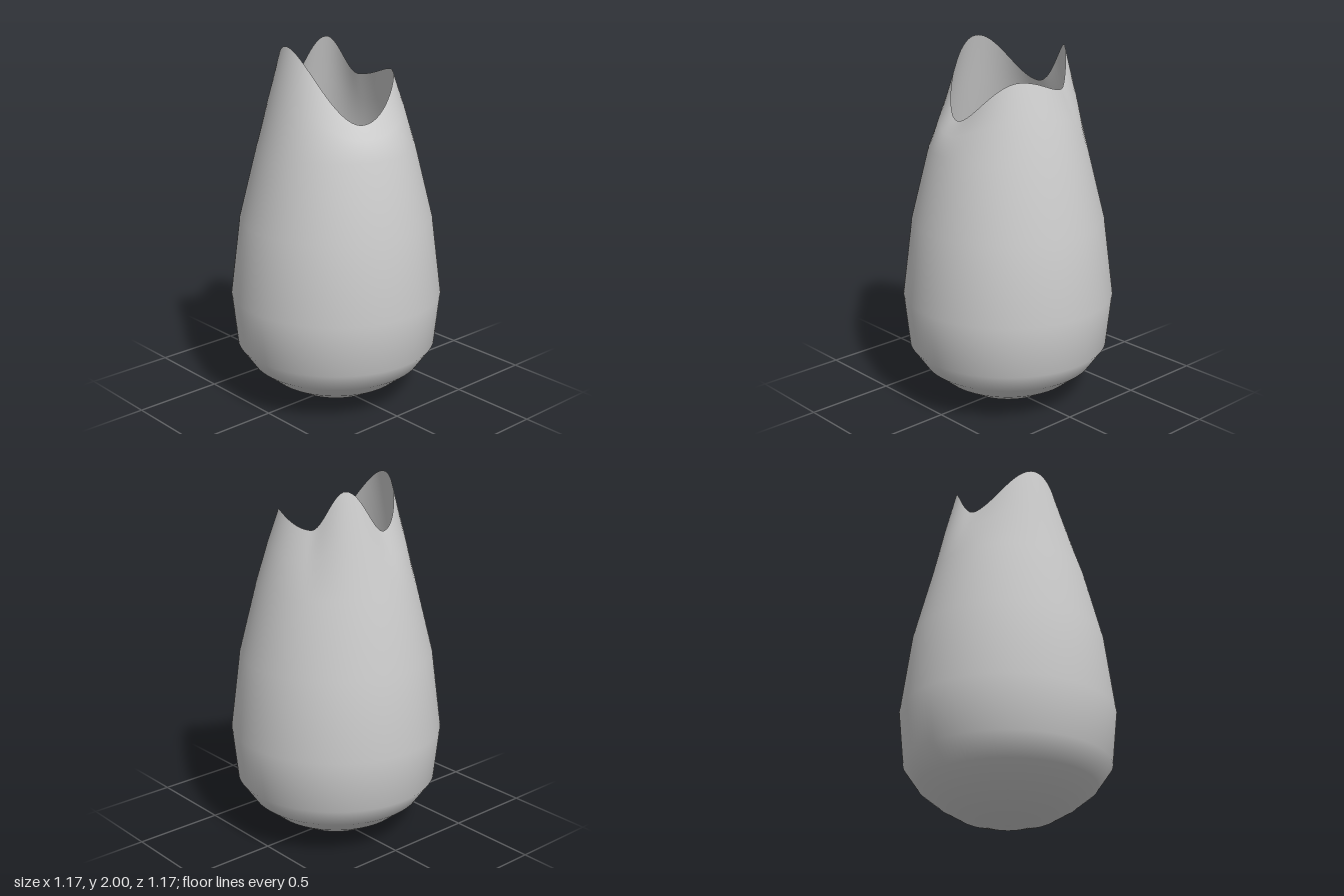
import * as THREE from 'three';
import { mergeVertices } from 'three/addons/utils/BufferGeometryUtils.js';

// Peaks and dips of the rim: [degrees from the front towards +x, height]
const RIM = [[-9, 2], [75, 1.61], [150, 1.84], [204, 1.775], [238, 1.98], [283, 1.75], [351, 2]];

// Eased height of the wavy rim at an angle
function rimHeight(deg) {
  const a = ((deg + 9) % 360 + 360) % 360 - 9;
  let i = 0;
  while (i < RIM.length - 2 && a > RIM[i + 1][0]) i++;
  const [a0, h0] = RIM[i], [a1, h1] = RIM[i + 1];
  const t = (1 - Math.cos(Math.PI * (a - a0) / (a1 - a0))) / 2;
  return h0 + (h1 - h0) * t;
}

export function createModel() {
  const group = new THREE.Group();
  group.name = 'tulipCup';

  // Rounded bottom, bulging body and tapering neck; the last two rows follow the rim
  const profile = [
    [0, 0], [0.13, 0.015], [0.26, 0.055], [0.37, 0.12], [0.475, 0.205], [0.555, 0.32],
    [0.585, 0.61], [0.53, 1.04], [0.43, 1.44], [0.367, 1.66], [0.305, 1.85],
  ].map(([r, y]) => new THREE.Vector2(r, y));
  const lathe = new THREE.LatheGeometry(profile, 128);

  // Raise and lower the neck rows to make the wavy edge
  const p = lathe.attributes.position;
  for (let i = 0; i < p.count; i++) {
    const row = i % profile.length;
    const follow = row === 10 ? 1 : row === 9 ? 0.5 : 0;
    if (!follow) continue;
    const deg = THREE.MathUtils.radToDeg(Math.atan2(p.getX(i), p.getZ(i)));
    p.setY(i, p.getY(i) + follow * (rimHeight(deg) - 1.85));
  }

  // Weld the seam so the shading stays smooth all round
  lathe.deleteAttribute('uv');
  lathe.deleteAttribute('normal');
  const geometry = mergeVertices(lathe, 1e-4);
  geometry.computeVertexNormals();

  const cup = new THREE.Mesh(geometry, new THREE.MeshStandardMaterial({ color: 0xcccccc, side: THREE.DoubleSide }));
  cup.name = 'petalCup';
  group.add(cup);
  return group;
}
